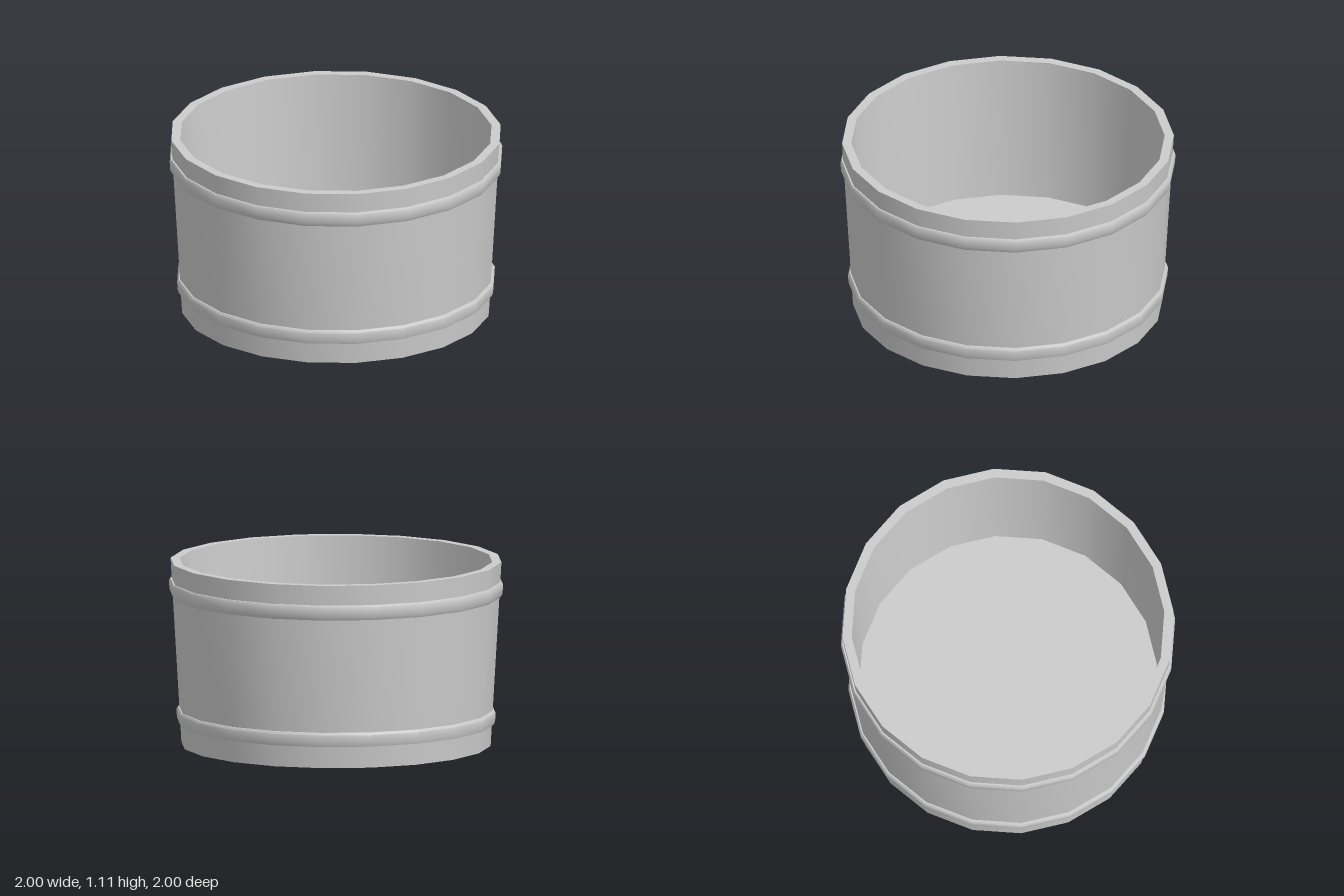
import * as THREE from 'three';
import { toCreasedNormals } from 'three/addons/utils/BufferGeometryUtils.js';

const SIDES = 20;
const material = new THREE.MeshStandardMaterial({ color: 0xcccccc });

// Closed ring turned from an [radius, height] section, listed up the outside and down the inside
function ring(name, section) {
  const points = [...section, section[0]].map(([r, y]) => new THREE.Vector2(r, y));
  const geometry = toCreasedNormals(new THREE.LatheGeometry(points, SIDES), 0.65);
  const mesh = new THREE.Mesh(geometry, material);
  mesh.name = name;
  return mesh;
}

export function createModel() {
  const group = new THREE.Group();
  group.name = 'tub';

  // Tapered wall, open at the top and hollow under the floor
  group.add(ring('wall', [[0.925, 0], [0.99, 1.11], [0.935, 1.11], [0.89, 0.2], [0.885, 0]]));

  // Raised hoops with slightly softened edges
  group.add(ring('lowerHoop', [[0.925, 0.13], [0.945, 0.13], [0.952, 0.15], [0.955, 0.2], [0.945, 0.215], [0.925, 0.215]]));
  group.add(ring('upperHoop', [[0.96, 0.9], [0.985, 0.9], [0.996, 0.92], [1.0, 0.975], [0.992, 0.99], [0.96, 0.99]]));

  // Floor set above the foot of the wall
  const floorGeometry = toCreasedNormals(new THREE.CylinderGeometry(0.9, 0.9, 0.02, SIDES), 0.65);
  const floor = new THREE.Mesh(floorGeometry, material);
  floor.name = 'floor';
  floor.position.y = 0.2;
  group.add(floor);

  return group;
}
